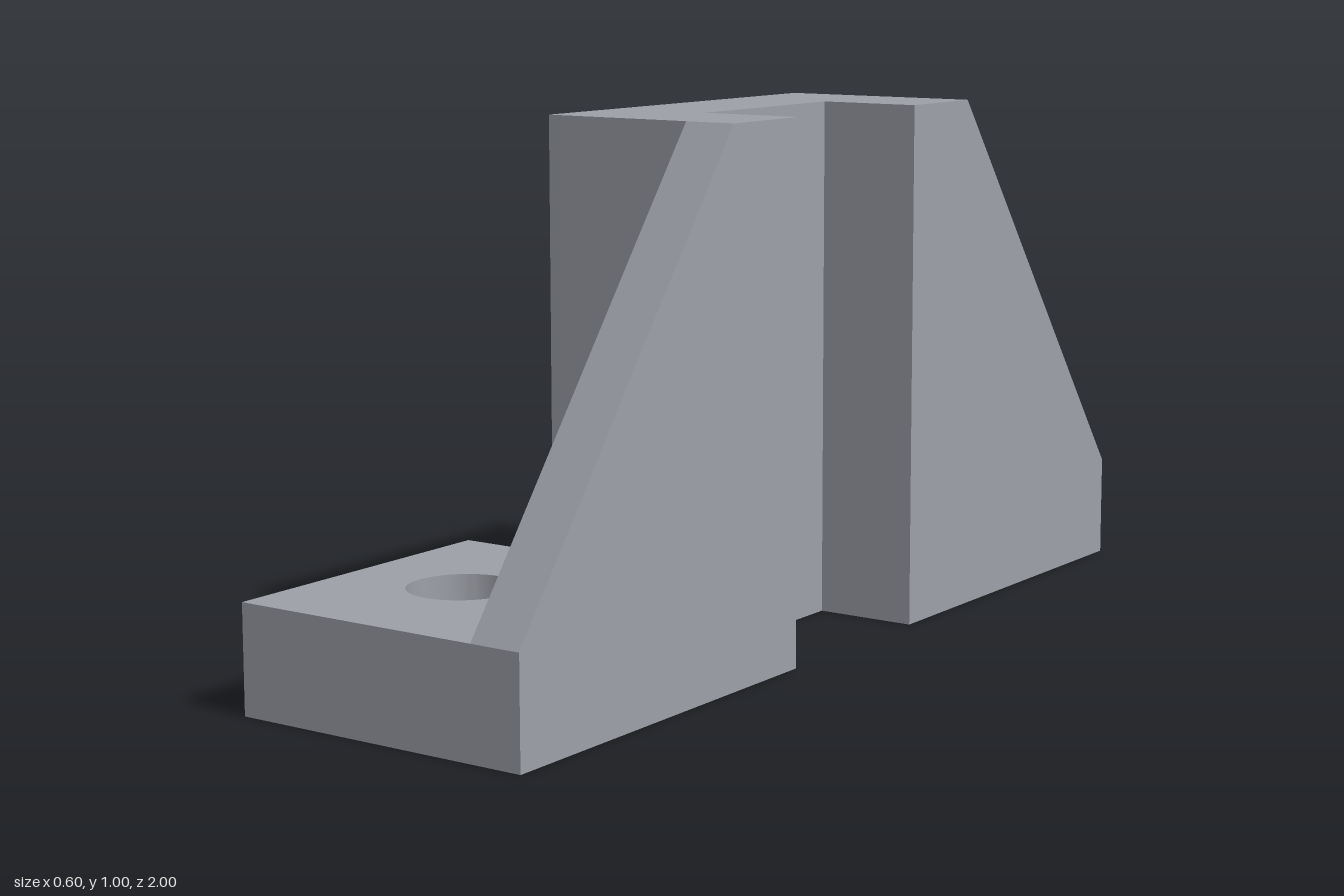
import * as THREE from 'three';
import { toCreasedNormals } from 'three/addons/utils/BufferGeometryUtils.js';

const BASE_H = 0.2, TOP = 1;

function shapeFrom(points) {
  return new THREE.Shape(points.map(([x, y]) => new THREE.Vector2(x, y)));
}

function extrude(shape, depth) {
  return new THREE.ExtrudeGeometry(shape, { depth, bevelEnabled: false, curveSegments: 32 });
}

// Plan outline (x, z) raised from y0 to y1
function raisePlan(shape, y0, y1) {
  return extrude(shape, y1 - y0).rotateX(-Math.PI / 2).translate(0, y0, 0);
}

export function createModel() {
  const group = new THREE.Group();
  // Cool mid-grey metal
  const material = new THREE.MeshStandardMaterial({ color: 0x9da0a8 });
  const add = (name, geometry) => {
    const mesh = new THREE.Mesh(toCreasedNormals(geometry, 0.5), material);
    mesh.name = name;
    group.add(mesh);
  };

  // Base plate: shallow recess on one side, slot on the other, two bolt holes
  const base = shapeFrom([
    [-0.3, -1], [0.3, -1], [0.3, -0.2], [0.1, -0.2], [0.1, 0.2], [0.3, 0.2],
    [0.3, 1], [-0.3, 1], [-0.3, 0.4], [-0.2, 0.4], [-0.2, -0.4], [-0.3, -0.4],
  ]);
  for (const z of [-0.7, 0.7]) {
    base.holes.push(new THREE.Path().absarc(-0.063, z, 0.1, 0, Math.PI * 2, true));
  }
  add('basePlate', raisePlan(base, 0, BASE_H));

  // Upright channel standing on the base
  const channel = shapeFrom([
    [-0.1, -0.4], [0.3, -0.4], [0.3, -0.2], [0.1, -0.2],
    [0.1, 0.2], [0.3, 0.2], [0.3, 0.4], [-0.1, 0.4],
  ]);
  add('uprightChannel', raisePlan(channel, BASE_H, TOP));

  // Triangular ribs bracing the channel front and back
  for (const [name, s] of [['frontRib', -1], ['backRib', 1]]) {
    const rib = shapeFrom([[s * 0.4, BASE_H], [s, BASE_H], [s * 0.4, TOP]]);
    add(name, extrude(rib, 0.1).rotateY(Math.PI / 2).translate(0.2, 0, 0));
  }

  return group;
}
